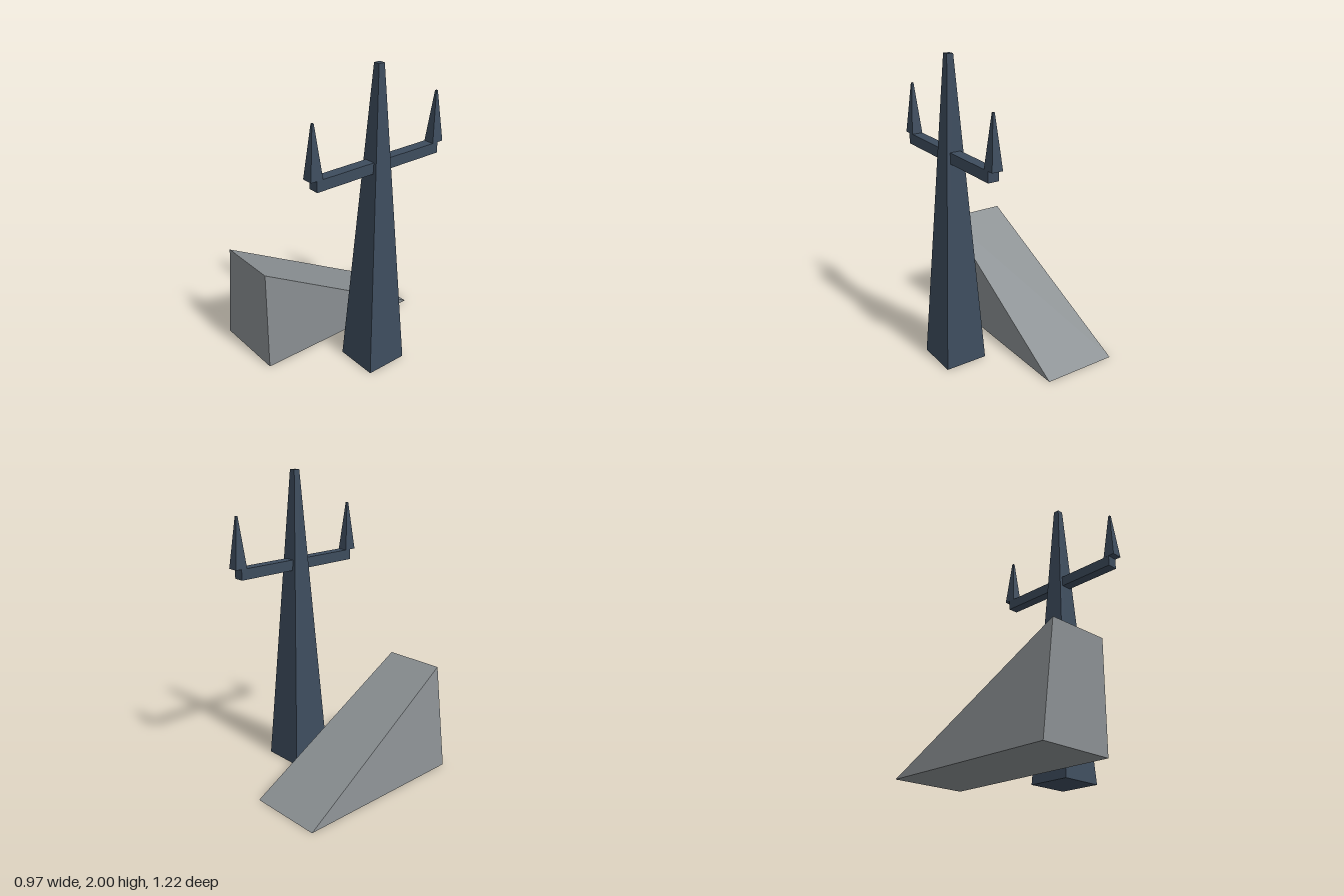
import * as THREE from 'three';

// Tapered four-sided post standing on y = 0: half widths at the base and the tip
function taperedPost(baseX, baseZ, tip, height) {
  const g = new THREE.BoxGeometry(2, height, 2).translate(0, height / 2, 0);
  const p = g.attributes.position;
  for (let i = 0; i < p.count; i++) {
    const top = p.getY(i) > height / 2;
    p.setX(i, p.getX(i) * (top ? tip : baseX));
    p.setZ(i, p.getZ(i) * (top ? tip : baseZ));
  }
  g.computeVertexNormals();
  return g;
}

// Wedge rising toward +z, with one side leaning inward
function wedge() {
  const [left, lean, right, z, h] = [-0.487, -0.4, 0.017, 0.611, 0.7];
  const a = [left, 0, -z], b = [right, 0, -z], c = [right, 0, z], d = [left, 0, z];
  const e = [lean, h, z], f = [right, h, z];
  const quad = (p, q, r, s) => [p, q, r, p, r, s];
  const corners = [
    ...quad(a, b, c, d), // underside
    ...quad(d, c, f, e), // front
    ...quad(a, e, f, b), // slope
    b, f, c,             // upright side
    a, d, e,             // leaning side
  ];
  const g = new THREE.BufferGeometry();
  g.setAttribute('position', new THREE.Float32BufferAttribute(corners.flat(), 3));
  g.computeVertexNormals();
  return g;
}

export function createModel() {
  const model = new THREE.Group();
  const slate = new THREE.MeshStandardMaterial({ name: 'slate blue', color: 0x3d4c5d, flatShading: true });
  const grey = new THREE.MeshStandardMaterial({ name: 'stone grey', color: 0x8a8f92, flatShading: true });

  const add = (parent, name, geometry, material, x, y, z) => {
    const mesh = new THREE.Mesh(geometry, material);
    mesh.name = name;
    mesh.position.set(x, y, z);
    parent.add(mesh);
  };

  // Ramp
  add(model, 'ramp', wedge(), grey, 0, 0, 0);

  // Tower with a crossbar and an upright spike at each end
  const tower = new THREE.Group();
  tower.name = 'tower';
  tower.position.x = 0.341;
  model.add(tower);
  add(tower, 'mast', taperedPost(0.143, 0.143, 0.021, 2), slate, 0, 0, 0);
  add(tower, 'crossbar', new THREE.BoxGeometry(0.071, 0.07, 0.938), slate, 0, 1.39, 0);
  const spike = taperedPost(0.036, 0.042, 0.006, 0.325);
  for (const side of [1, -1]) {
    add(tower, side > 0 ? 'frontSpike' : 'backSpike', spike, slate, 0, 1.425, side * 0.469);
  }
  return model;
}
